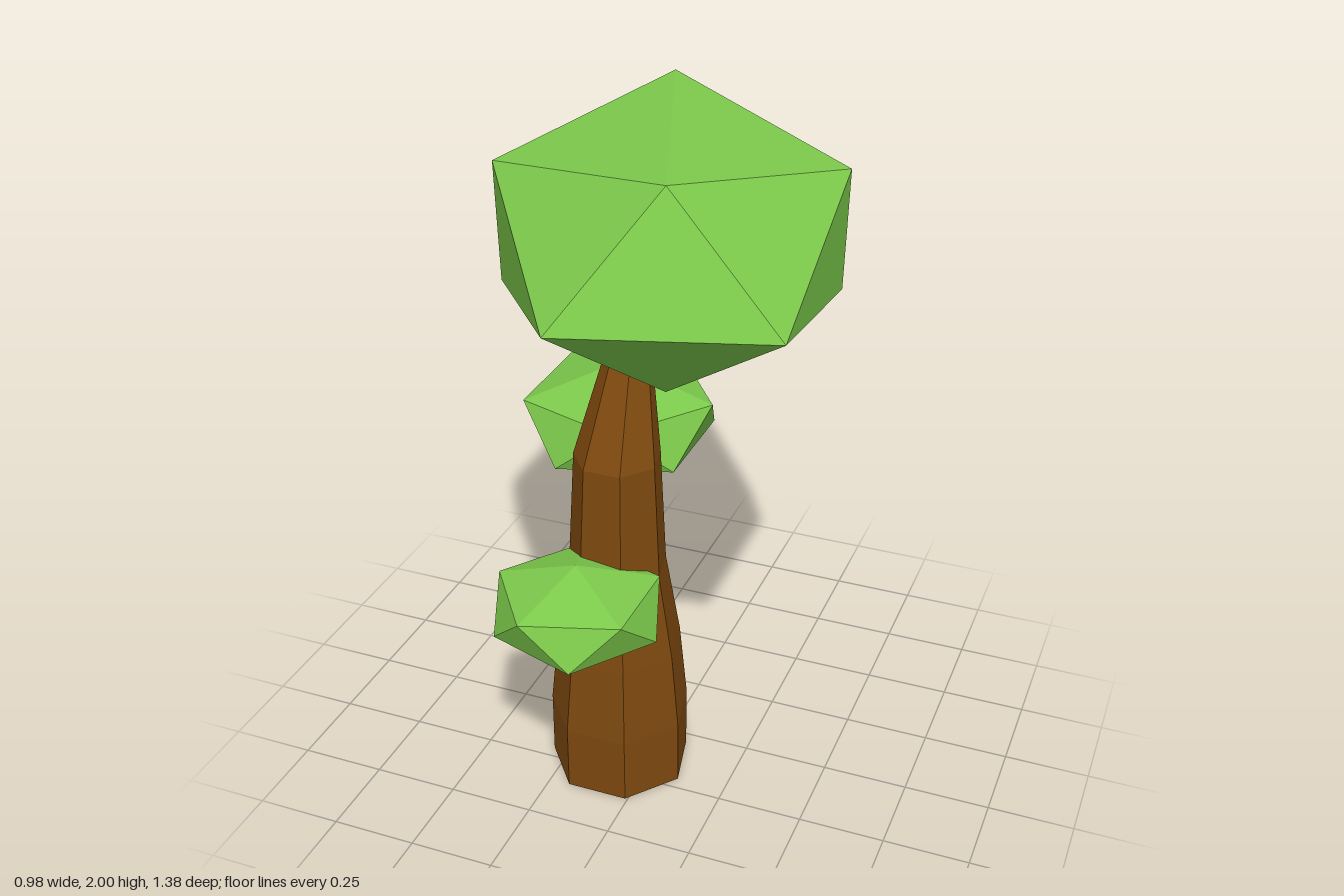
import * as THREE from 'three';
import { ConvexGeometry } from 'three/addons/geometries/ConvexGeometry.js';

const bark = new THREE.MeshStandardMaterial({ color: 0x7d480f, flatShading: true });
const leaf = new THREE.MeshStandardMaterial({ color: 0x7cc94b, flatShading: true });

// Twelve-cornered leaf clump: six corners, each mirrored through the centre
function foliage(name, centre, corners) {
  const points = corners.flatMap(([x, y, z]) => [
    new THREE.Vector3(x, y, z), new THREE.Vector3(-x, -y, -z),
  ]);
  const mesh = new THREE.Mesh(new ConvexGeometry(points), leaf);
  mesh.name = name;
  mesh.position.set(...centre);
  return mesh;
}

// Squashed upright icosahedron: one pole and the upper ring of five
function uprightCorners(ringRadius, halfHeight, startAngle) {
  const corners = [[0, halfHeight, 0]];
  for (let i = 0; i < 5; i++) {
    const a = startAngle + (i * Math.PI * 2) / 5;
    corners.push([ringRadius * Math.cos(a), halfHeight / Math.sqrt(5), ringRadius * Math.sin(a)]);
  }
  return corners;
}

// Seven-sided trunk that tapers and leans back near the top
function makeTrunk() {
  const rings = [ // height, radius, z of the centre
    [0, 0.208, 0.164], [0.2, 0.208, 0.164], [0.43, 0.185, 0.161],
    [0.69, 0.143, 0.163], [1.04, 0.125, 0.155], [1.42, 0.043, 0.032],
  ];
  const steps = rings.length - 1;
  const geometry = new THREE.CylinderGeometry(1, 1, steps, 7, steps, false, Math.PI);
  const p = geometry.attributes.position;
  for (let i = 0; i < p.count; i++) {
    const [y, r, z] = rings[Math.round(p.getY(i) + steps / 2)];
    p.setXYZ(i, p.getX(i) * r - 0.098, y, p.getZ(i) * r + z);
  }
  geometry.computeVertexNormals();
  const mesh = new THREE.Mesh(geometry, bark);
  mesh.name = 'trunk';
  return mesh;
}

export function createModel() {
  const tree = new THREE.Group();
  tree.name = 'tree';
  tree.add(
    makeTrunk(),
    // Large tilted crown
    foliage('crown', [0, 1.675, 0], [
      [-0.107, 0.325, -0.31], [0.16, 0.285, 0.44], [-0.428, 0.185, 0.177],
      [0.458, 0.185, -0.1], [0.489, -0.035, 0.517], [-0.058, -0.035, 0.688],
    ]),
    // Small clumps on the front and back of the trunk
    foliage('frontClump', [-0.135, 0.665, 0.37], uprightCorners(0.237, 0.135, Math.PI)),
    foliage('backClump', [-0.206, 1.025, -0.124], uprightCorners(0.286, 0.16, 0)),
  );
  return tree;
}
